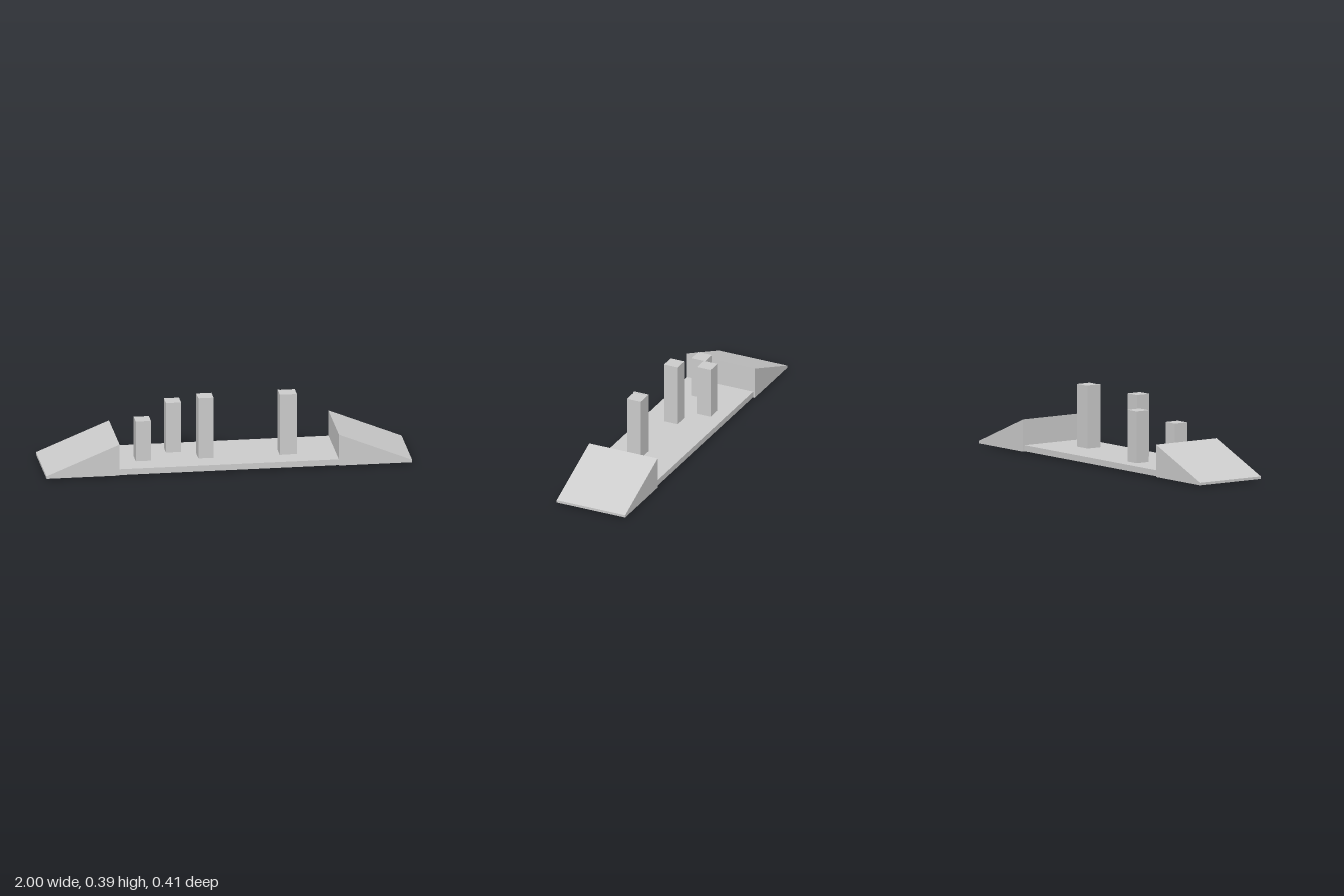
import * as THREE from 'three';

const material = new THREE.MeshStandardMaterial({ color: 0xcccccc, flatShading: true });

// Box given by its lower and upper limits on each axis
function block(name, [x0, x1], [y0, y1], [z0, z1]) {
  const mesh = new THREE.Mesh(new THREE.BoxGeometry(x1 - x0, y1 - y0, z1 - z0), material);
  mesh.position.set((x0 + x1) / 2, (y0 + y1) / 2, (z0 + z1) / 2);
  mesh.name = name;
  return mesh;
}

// Wedge with a thin lip at the outer end and an upright inner face
function ramp(name) {
  const profile = new THREE.Shape([
    new THREE.Vector2(0.6, 0.008),
    new THREE.Vector2(1, 0.008),
    new THREE.Vector2(1, 0.022),
    new THREE.Vector2(0.6, 0.185),
  ]);
  const width = 0.412;
  const geometry = new THREE.ExtrudeGeometry(profile, { depth: width, bevelEnabled: false });
  geometry.translate(0, 0, -width / 2);
  const mesh = new THREE.Mesh(geometry, material);
  mesh.name = name;
  return mesh;
}

export function createModel() {
  const model = new THREE.Group();
  model.name = 'rampCourse';

  // Flat deck between the two ramps
  model.add(block('deck', [-0.6, 0.6], [0.01, 0.043], [-0.197, 0.204]));

  // Ramps at both ends
  const leftRamp = ramp('leftRamp');
  const rightRamp = ramp('rightRamp');
  rightRamp.rotation.y = Math.PI;
  model.add(leftRamp, rightRamp);

  // Square posts passing through the deck: left edge x, back edge z, height
  const size = 0.083;
  const posts = [
    [-0.494, 0, 0.27],
    [-0.312, -0.122, 0.326],
    [-0.152, 0, 0.387],
    [0.304, 0, 0.386],
  ];
  posts.forEach(([x, z, height], i) => {
    model.add(block(`post${i + 1}`, [x, x + size], [0, height], [z, z + size]));
  });

  // Thin facing on the side of the last post
  model.add(block('postFacing', [0.293, 0.304], [0.03, 0.388], [-0.002, 0.087]));

  return model;
}
